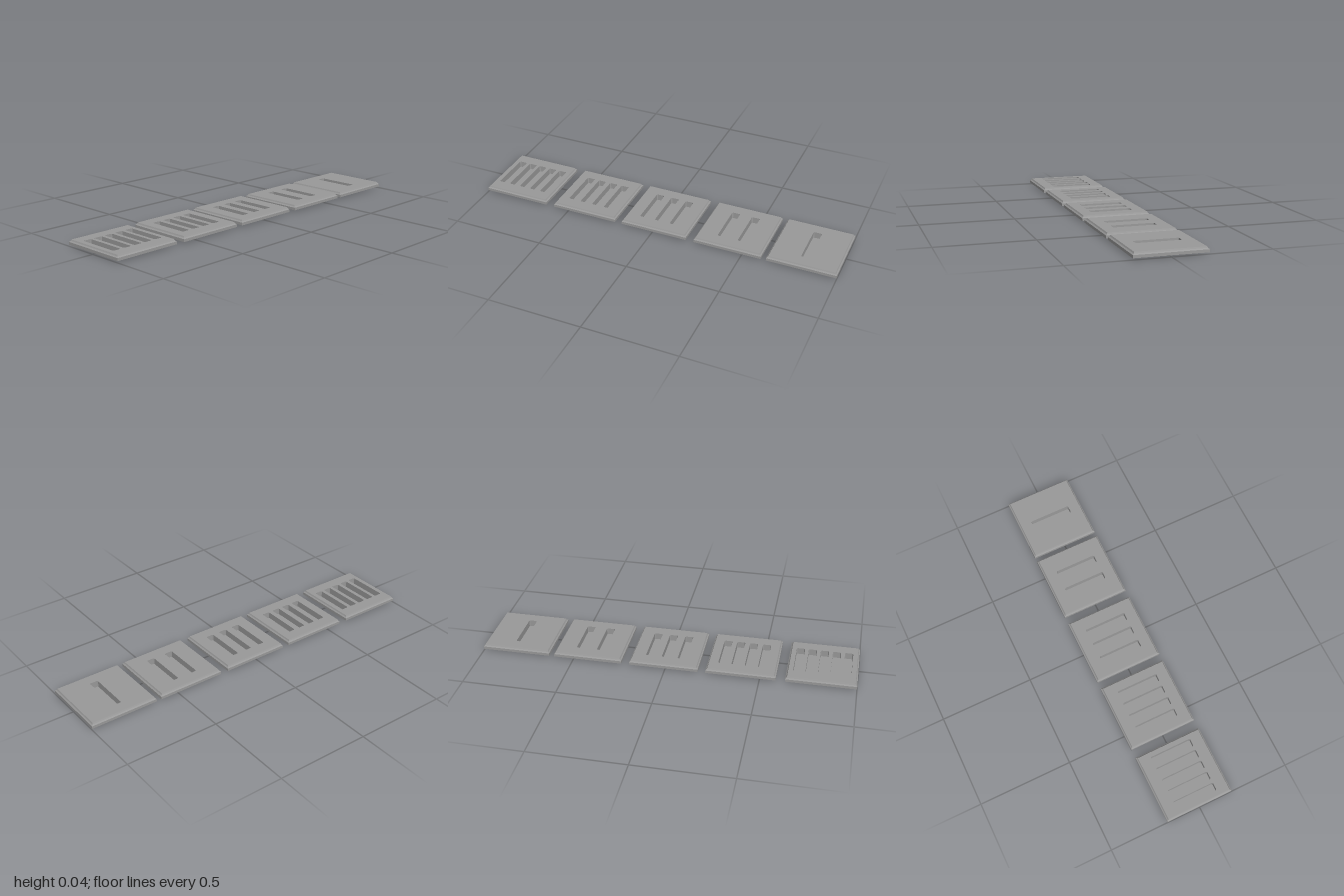
import * as THREE from 'three';

// Outline of a rectangle, counter-clockwise, with optional cut corners
function outline(cx, hx, hy, cut = 0) {
  const pts = cut
    ? [[hx, -hy + cut], [hx, hy - cut], [hx - cut, hy], [-hx + cut, hy],
      [-hx, hy - cut], [-hx, -hy + cut], [-hx + cut, -hy], [hx - cut, -hy]]
    : [[hx, -hy], [hx, hy], [-hx, hy], [-hx, -hy]];
  return pts.map(([x, y]) => new THREE.Vector2(cx + x, y));
}

// Flat horizontal face at a given height, with optional holes
function flatFace(points, height, holes = []) {
  const shape = new THREE.Shape(points);
  holes.forEach((h) => shape.holes.push(new THREE.Path(h)));
  return new THREE.ShapeGeometry(shape).rotateX(-Math.PI / 2).translate(0, height, 0);
}

// Walls joining outlines at successive heights
function walls(rings) {
  const pos = [];
  for (let r = 0; r < rings.length - 1; r++) {
    const [a, ya] = rings[r], [b, yb] = rings[r + 1];
    for (let i = 0; i < a.length; i++) {
      const j = (i + 1) % a.length;
      const p = [a[i].x, ya, -a[i].y], q = [a[j].x, ya, -a[j].y];
      const s = [b[j].x, yb, -b[j].y], t = [b[i].x, yb, -b[i].y];
      pos.push(...p, ...q, ...s, ...p, ...s, ...t);
    }
  }
  const g = new THREE.BufferGeometry();
  g.setAttribute('position', new THREE.Float32BufferAttribute(pos, 3));
  g.computeVertexNormals();
  return g;
}

export function createModel() {
  const grey = new THREE.MeshStandardMaterial({ color: 0x999999, side: THREE.DoubleSide });
  grey.name = 'grey';
  const model = new THREE.Group();
  model.name = 'slottedTiles';

  const top = 0.035;
  // Half width and height of the stepped edge, from the bottom up
  const edge = [[0.184, 0.008], [0.184, 0.0225], [0.178, 0.028], [0.1745, top]];
  // Tile centre, number of slots, slot spacing
  const tiles = [[-0.816, 5, 0.064], [-0.4, 4, 0.07], [0.008, 3, 0.0855],
    [0.42, 2, 0.111], [0.816, 1, 0]];

  for (const [x, count, spacing] of tiles) {
    const tile = new THREE.Group();
    tile.name = `tile${count}`;
    tile.position.x = x;
    const add = (geometry, name) => {
      const mesh = new THREE.Mesh(geometry, grey);
      mesh.name = name;
      tile.add(mesh);
    };

    const slots = [];
    for (let i = 0; i < count; i++) {
      slots.push(outline((i - (count - 1) / 2) * spacing, 0.022, 0.114, 0.005));
    }
    add(walls(edge.map(([h, y]) => [outline(0, h, h), y])), 'edge');
    add(flatFace(outline(0, 0.1745, 0.1745), top, slots), 'topPanel');

    // Slots pressed down through the open underside
    for (const slot of slots) {
      add(walls([[slot, top], [slot, 0]]), 'slotWalls');
      add(flatFace(slot, 0), 'slotFloor');
    }
    model.add(tile);
  }
  return model;
}
